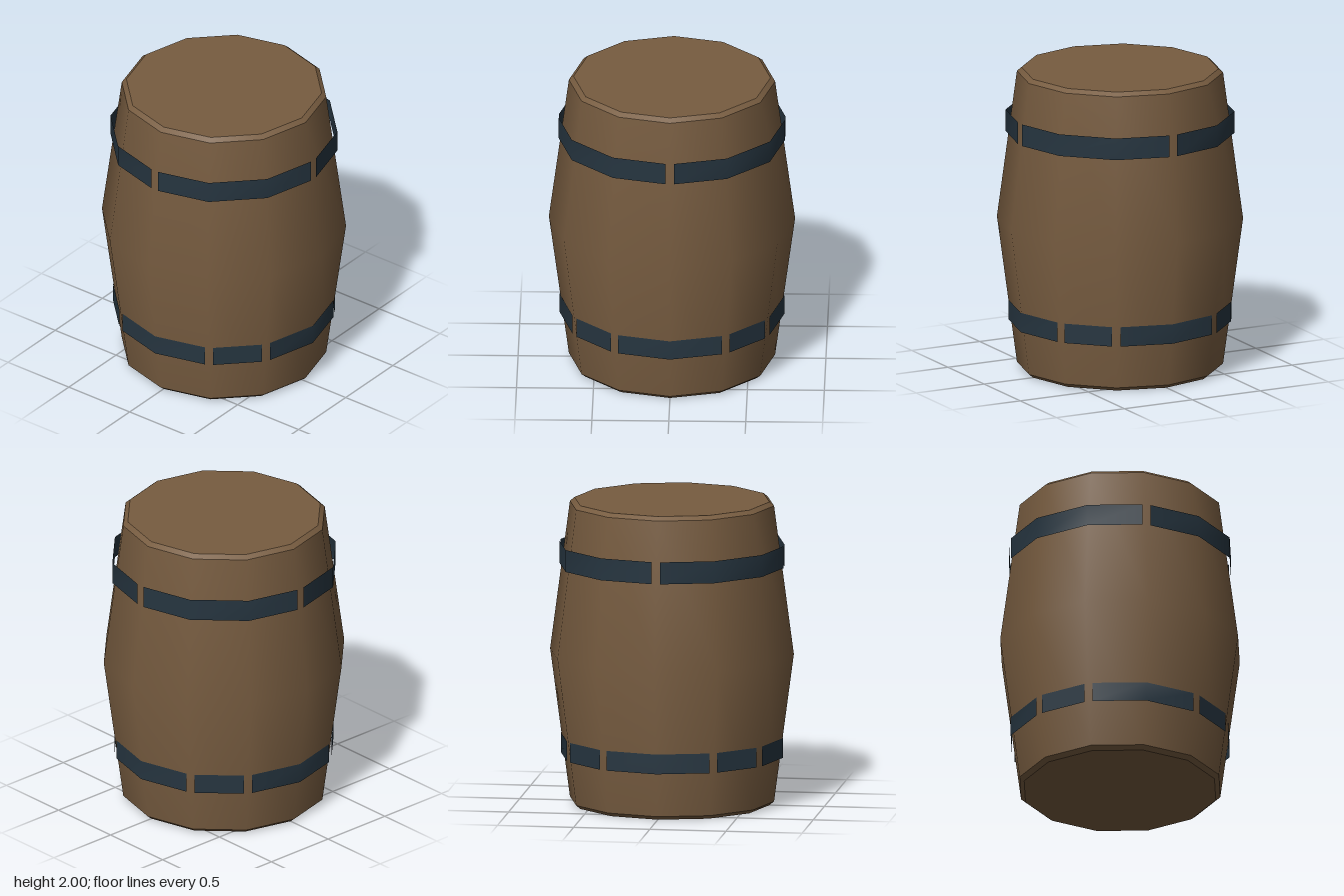
import * as THREE from 'three';

const SIDES = 12;
const GAP = 0.027; // half width of the gap between hoop pieces

const wood = new THREE.MeshStandardMaterial({ color: 0x775c40 });
wood.name = 'brown wood';
const iron = new THREE.MeshStandardMaterial({ color: 0x263540, side: THREE.DoubleSide });
iron.name = 'dark iron';

// Twelve-sided surface turned from a profile of [radius, height] pairs
function turned(name, profile) {
  const points = profile.map(([r, y]) => new THREE.Vector2(r, y));
  const mesh = new THREE.Mesh(new THREE.LatheGeometry(points, SIDES), wood);
  mesh.name = name;
  return mesh;
}

// One upright strip of hoop running between two corners of the barrel
function hoopPiece(name, radius, bottom, top, first, last) {
  const path = [];
  for (let i = first; i <= last; i++) {
    const a = (i / SIDES) * Math.PI * 2;
    path.push(new THREE.Vector3(Math.sin(a) * radius, 0, Math.cos(a) * radius));
  }
  // trim both ends to leave the gaps
  const trim = GAP / Math.cos(Math.PI / SIDES) / path[0].distanceTo(path[1]);
  const n = path.length;
  const start = path[0].clone().lerp(path[1], trim);
  const end = path[n - 1].clone().lerp(path[n - 2], trim);
  path[0] = start;
  path[n - 1] = end;

  const positions = [];
  const index = [];
  path.forEach((p, i) => {
    positions.push(p.x, bottom, p.z, p.x, top, p.z);
    if (i < n - 1) {
      const k = i * 2;
      index.push(k, k + 2, k + 3, k, k + 3, k + 1);
    }
  });
  const geometry = new THREE.BufferGeometry();
  geometry.setAttribute('position', new THREE.Float32BufferAttribute(positions, 3));
  geometry.setIndex(index);
  geometry.computeVertexNormals();
  const mesh = new THREE.Mesh(geometry, iron);
  mesh.name = name;
  return mesh;
}

// A full hoop, broken at the given corners
function hoop(name, radius, bottom, top, corners) {
  const group = new THREE.Group();
  group.name = name;
  corners.forEach((c, i) => {
    const next = i + 1 < corners.length ? corners[i + 1] : corners[0] + SIDES;
    group.add(hoopPiece(name + 'Piece', radius, bottom, top, c, next));
  });
  return group;
}

export function createModel() {
  const barrel = new THREE.Group();
  barrel.name = 'barrel';

  // Wooden body: bulging staves, bevelled rims and flat ends
  barrel.add(
    turned('bottomEnd', [[0, 0], [0.64, 0]]),
    turned('bottomRim', [[0.64, 0], [0.67, 0.025]]),
    turned('staves', [[0.67, 0.025], [0.8, 1], [0.67, 1.975]]),
    turned('topRim', [[0.67, 1.975], [0.64, 2]]),
    turned('topEnd', [[0.64, 2], [0, 2]])
  );

  // Iron hoops
  barrel.add(
    hoop('upperHoop', 0.743, 1.57, 1.715, [0, 3, 6, 9]),
    hoop('lowerHoop', 0.73, 0.315, 0.445, [1, 2, 4, 5, 7, 8, 10, 11])
  );
  return barrel;
}
